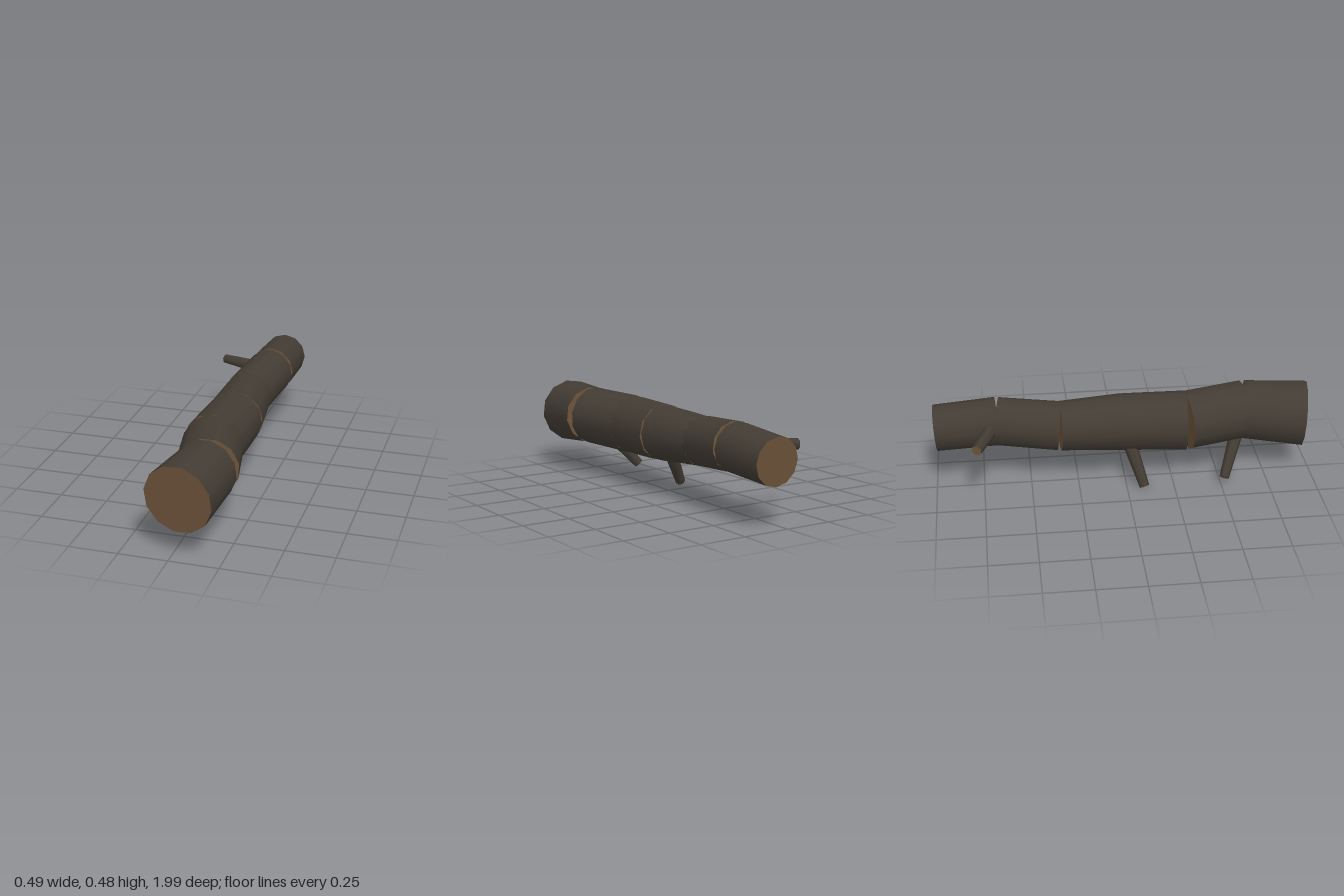
import * as THREE from 'three';

const V = (x, y, z) => new THREE.Vector3(x, y, z);

export function createModel() {
  const group = new THREE.Group();
  const bark = new THREE.MeshStandardMaterial({ color: 0x433c34 });
  bark.name = 'darkBark';
  const wood = new THREE.MeshStandardMaterial({ color: 0x6b5239 });
  wood.name = 'cutWood';

  // tapered cylinder between two points, bark side and cut-wood ends
  function limb(name, from, to, r0, r1, sides) {
    const dir = to.clone().sub(from);
    const geo = new THREE.CylinderGeometry(r1, r0, dir.length(), sides);
    const mesh = new THREE.Mesh(geo, [bark, wood, wood]);
    mesh.position.copy(from).add(to).multiplyScalar(0.5);
    mesh.quaternion.setFromUnitVectors(V(0, 1, 0), dir.normalize());
    mesh.name = name;
    group.add(mesh);
  }

  // crooked centre line of the trunk, front to back, with its radii
  const path = [
    V(0.04, 0.314, 0.967), V(0.085, 0.332, 0.645), V(0.02, 0.32, 0.325),
    V(0.035, 0.323, -0.01), V(0.018, 0.328, -0.34), V(0.06, 0.353, -0.668),
    V(0.061, 0.332, -0.99),
  ];
  const radii = [0.175, 0.157, 0.157, 0.15, 0.13, 0.127, 0.122];
  for (let i = 0; i < 6; i++) {
    limb('trunkSegment' + (i + 1), path[i], path[i + 1], radii[i], radii[i + 1], 12);
  }

  // branch stubs grow from the trunk joints
  limb('frontBranch', path[1], V(-0.14, 0.048, 0.515), 0.043, 0.026, 6);
  limb('middleBranch', path[3], V(-0.137, 0.02, 0.09), 0.043, 0.026, 6);
  limb('rearBranch', path[5], V(-0.24, 0.353, -0.777), 0.043, 0.027, 6);

  return group;
}
